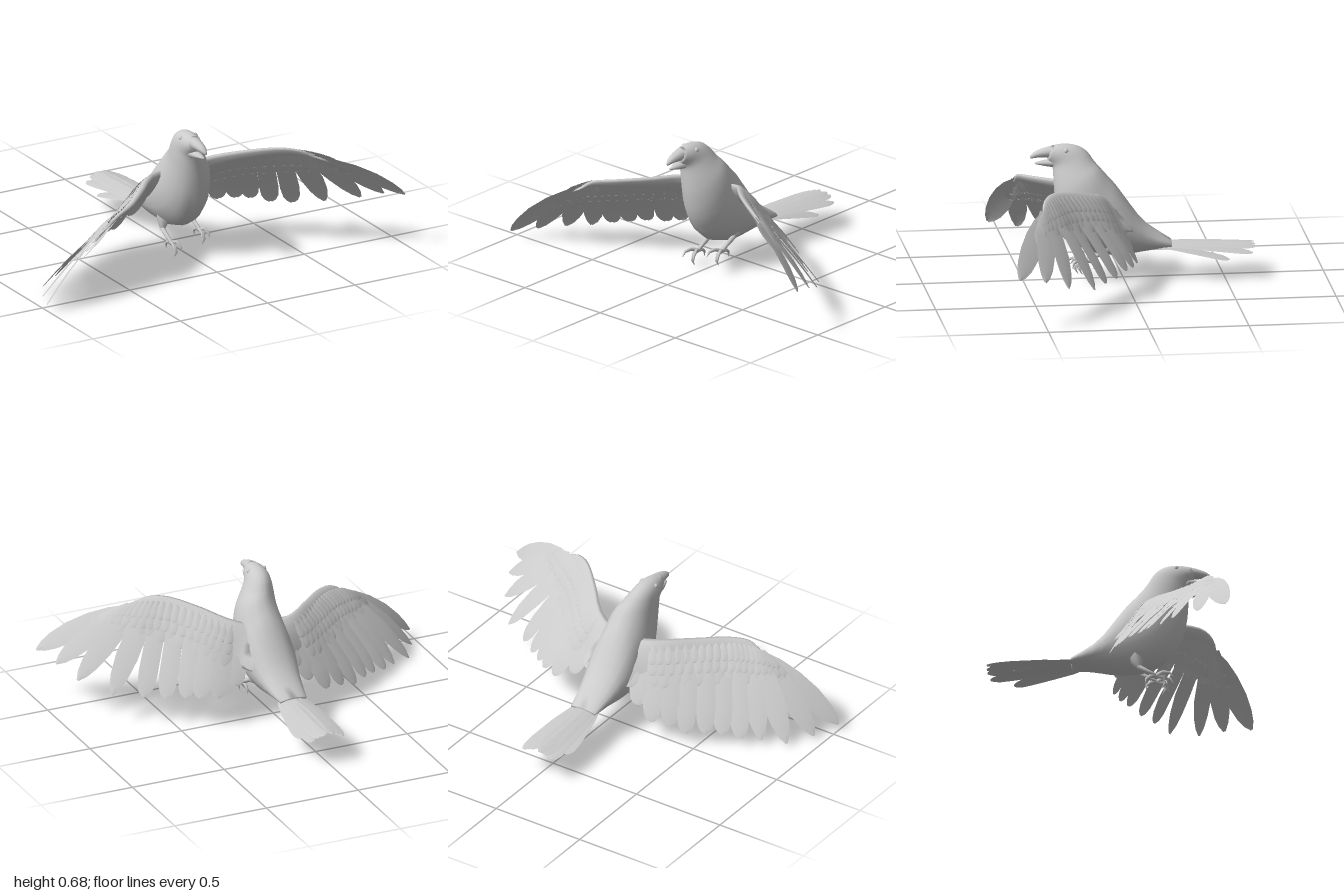
import * as THREE from 'three';

const V = (x, y, z) => new THREE.Vector3(x, y, z);
const curve = (pts) => new THREE.CatmullRomCurve3(pts.map((p) => V(...p)));
const mat = new THREE.MeshStandardMaterial({ color: 0xcccccc, roughness: 0.9 });
const thin = new THREE.MeshStandardMaterial({ color: 0xcccccc, roughness: 0.9, side: THREE.DoubleSide });

function mesh(geo, name, parent, material = mat) {
  const m = new THREE.Mesh(geo, material);
  m.name = name;
  parent.add(m);
  return m;
}

function build(points, index) {
  const g = new THREE.BufferGeometry();
  g.setAttribute('position', new THREE.Float32BufferAttribute(points.flatMap((p) => [p.x, p.y, p.z]), 3));
  g.setIndex(index);
  g.computeVertexNormals();
  return g;
}

// Closed skin over rings running counter-clockwise around the direction of travel
function loft(rings) {
  const n = rings[0].length, pts = rings.flat(), idx = [];
  for (let i = 0; i < rings.length - 1; i++) {
    for (let j = 0; j < n; j++) {
      const a = i * n + j, b = i * n + (j + 1) % n;
      idx.push(a, b, a + n, b, b + n, a + n);
    }
  }
  const last = (rings.length - 1) * n;
  for (let j = 1; j < n - 1; j++) idx.push(0, j + 1, j, last, last + j, last + j + 1);
  return build(pts, idx);
}

function ring(center, u, v, n, shape = () => 1) {
  return Array.from({ length: n }, (_, j) => {
    const a = (j / n) * Math.PI * 2;
    return center.clone().addScaledVector(u, Math.cos(a) * shape(a)).addScaledVector(v, Math.sin(a));
  });
}

// Sections: [top z, top y, bottom z, bottom y, half width, centre x]
function sectionLoft(sections, samples, sides) {
  const top = curve(sections.map((s) => [0, s[1], s[0]]));
  const bottom = curve(sections.map((s) => [0, s[3], s[2]]));
  const size = curve(sections.map((s) => [s[4], s[5], 0]));
  const rings = [];
  for (let i = 0; i <= samples; i++) {
    const t = i / samples, T = top.getPoint(t), B = bottom.getPoint(t), w = size.getPoint(t);
    const c = T.clone().add(B).multiplyScalar(0.5);
    c.x = w.y;
    rings.push(ring(c, T.sub(B).multiplyScalar(0.5), V(-w.x, 0, 0), sides));
  }
  return loft(rings);
}

// Tapered limb through points, one radius per point
function limb(points, radii, sides = 8) {
  return loft(points.map((p, i) => {
    const d = points[Math.min(i + 1, points.length - 1)].clone().sub(points[Math.max(i - 1, 0)]).normalize();
    const u = V(1, 0, 0).addScaledVector(d, -d.x).normalize();
    const v = d.clone().cross(u);
    return ring(p, u.multiplyScalar(radii[i]), v.multiplyScalar(radii[i]), sides);
  }));
}

// Vane outlines: [position along the shaft, share of full width]
const rounded = [[0, 0.35], [0.12, 0.68], [0.4, 0.95], [0.75, 1], [0.89, 0.87], [0.96, 0.6], [1, 0.2]];
const pointed = [[0, 0.35], [0.12, 0.65], [0.35, 0.95], [0.6, 1], [0.8, 0.8], [0.92, 0.5], [1, 0.1]];

// Thin cambered feather with a raised shaft
function feather(vane, root, tip, width, normal, tilt, bend) {
  const dir = tip.clone().sub(root), len = dir.length();
  const n = normal.clone().addScaledVector(dir, -normal.dot(dir) / (len * len)).normalize();
  const side = dir.clone().normalize().cross(n).addScaledVector(n, tilt);
  const pts = [], idx = [];
  vane.forEach(([u, w], i) => {
    const c = root.clone().addScaledVector(dir, u).addScaledVector(n, bend * len * Math.sin(Math.PI * u));
    for (const k of [-1, 0, 1]) {
      pts.push(c.clone().addScaledVector(side, k * w * width / 2).addScaledVector(n, k ? 0 : 0.004));
    }
    if (i) for (const k of [0, 1]) {
      const b = i * 3 + k, a = b - 3;
      idx.push(a, a + 1, b, a + 1, b + 1, b);
    }
  });
  return build(pts, idx);
}

// side is +1 for left, -1 for right
function makeWing(side, leadPts, tipPts) {
  const wing = new THREE.Group();
  wing.name = side > 0 ? 'leftWing' : 'rightWing';
  const lead = curve(leadPts), tips = curve(tipPts);
  const frame = (t) => {
    const L = lead.getPoint(t), T = tips.getPoint(t);
    const dir = T.clone().sub(L).normalize();
    const span = lead.getTangent(t).add(tips.getTangent(t)).normalize();
    return { L, T, dir, n: span.cross(dir).multiplyScalar(side).normalize() };
  };

  // Arm: rounded leading edge thinning to the rear, broad at the shoulder
  const rings = [];
  for (let i = 0; i <= 14; i++) {
    const t = i / 14, f = frame(t), chord = 0.25 - 0.27 * t + 0.1 * t * t;
    const center = f.L.clone().addScaledVector(f.dir, chord / 2);
    rings.push(ring(center, f.n.clone().multiplyScalar(0.034 - 0.024 * t),
      f.dir.clone().multiplyScalar(-side * chord / 2), 12, (a) => 0.65 + 0.35 * side * Math.sin(a)));
  }
  mesh(loft(rings), 'wingArm', wing);

  // Flight feathers: rounded secondaries, longer pointed primaries
  const count = tipPts.length;
  for (let i = 0; i < count; i++) {
    const t = i / (count - 1), f = frame(t), primary = t > 0.65;
    const root = f.L.clone().addScaledVector(f.dir, 0.03);
    mesh(feather(primary ? pointed : rounded, root, f.T, primary ? 0.112 : 0.096, f.n, 0.08 * side, 0.03),
      primary ? 'primaryFeather' : 'secondaryFeather', wing, thin);
  }

  // Overlapping covert rows: [start, end, width, lift, count]
  const rows = [
    [0.06, 0.245, 0.064, 0.010, 15], [0.05, 0.185, 0.05, 0.016, 18], [0.035, 0.13, 0.042, 0.02, 20],
    [0.05, 0.22, 0.062, -0.010, 14], [0.04, 0.15, 0.048, -0.016, 16],
  ];
  for (const [start, end, width, lift, n] of rows) {
    for (let i = 0; i < n; i++) {
      const t = 0.16 + 0.82 * (i + 0.5) / n, f = frame(t);
      const at = (d, h) => f.L.clone().addScaledVector(f.dir, d).addScaledVector(f.n, h);
      mesh(feather(rounded, at(start, lift * 0.8), at(end, lift), width, f.n, 0.12 * side, 0.03 * Math.sign(lift)),
        'covert', wing, thin);
    }
  }
  return wing;
}

function makeLeg(side, y) {
  const leg = new THREE.Group();
  leg.name = side > 0 ? 'leftLeg' : 'rightLeg';
  const x = side * 0.08, foot = V(x, y, 0.185);
  mesh(limb([V(side * 0.055, 0.22, 0.07), V(side * 0.064, 0.165, 0.085), V(x, y + 0.045, 0.1)],
    [0.045, 0.036, 0.013]), 'thigh', leg);
  mesh(limb([V(x, y + 0.05, 0.095), V(x, y + 0.02, 0.15), foot], [0.013, 0.01, 0.012]), 'shank', leg);
  const toes = [
    [[0, 0, 0], [-0.016, 0.012, 0.035], [-0.024, 0.005, 0.068], [-0.027, -0.02, 0.085]],
    [[0, 0, 0], [0.003, -0.01, 0.035], [0.004, -0.04, 0.045], [0.002, -0.069, 0.028]],
    [[0, 0, 0], [0.016, 0.01, 0.03], [0.024, -0.01, 0.055], [0.026, -0.035, 0.058]],
    [[0, 0, 0], [0, -0.004, -0.03], [0, -0.02, -0.05], [0, -0.045, -0.05]],
  ];
  for (const toe of toes) {
    mesh(limb(toe.map((p) => V(...p).add(foot)), [0.011, 0.009, 0.007, 0.001], 6), 'toe', leg);
  }
  return leg;
}

export function createModel() {
  const bird = new THREE.Group();
  bird.name = 'bird';

  // Body, neck and head from tail to face
  mesh(sectionLoft([
    [-0.24, 0.186, -0.23, 0.153, 0.074, 0],
    [-0.105, 0.285, -0.12, 0.137, 0.1, 0],
    [-0.01, 0.41, 0, 0.118, 0.122, 0],
    [0.04, 0.48, 0.11, 0.122, 0.128, 0],
    [0.075, 0.52, 0.23, 0.175, 0.126, 0],
    [0.105, 0.555, 0.31, 0.29, 0.115, 0],
    [0.125, 0.577, 0.34, 0.42, 0.1, -0.006],
    [0.145, 0.6, 0.345, 0.51, 0.083, -0.02],
    [0.175, 0.642, 0.347, 0.56, 0.067, -0.032],
    [0.225, 0.674, 0.352, 0.575, 0.058, -0.038],
    [0.30, 0.682, 0.36, 0.59, 0.048, -0.041],
    [0.36, 0.672, 0.372, 0.606, 0.034, -0.042],
  ], 26, 16), 'body', bird);

  // Open beak
  mesh(sectionLoft([
    [0.34, 0.678, 0.34, 0.61, 0.037, -0.042], [0.395, 0.664, 0.395, 0.616, 0.028, -0.041],
    [0.435, 0.648, 0.435, 0.615, 0.018, -0.04], [0.46, 0.627, 0.457, 0.612, 0.005, -0.038],
  ], 9, 10), 'upperBeak', bird);
  mesh(sectionLoft([
    [0.33, 0.609, 0.33, 0.562, 0.033, -0.042], [0.39, 0.603, 0.385, 0.572, 0.023, -0.041],
    [0.438, 0.592, 0.435, 0.584, 0.006, -0.039],
  ], 6, 10), 'lowerBeak', bird);

  for (const s of [-1, 1]) {
    const eye = mesh(new THREE.SphereGeometry(0.013, 12, 8), 'eye', bird);
    eye.position.set(-0.04 + s * 0.04, 0.655, 0.285);
  }

  // Wings, the left one raised a little higher
  bird.add(makeWing(1,
    [[0.04, 0.44, 0.12], [0.16, 0.475, 0.17], [0.28, 0.52, 0.29], [0.41, 0.55, 0.41], [0.5, 0.535, 0.46], [0.58, 0.495, 0.475]],
    [[0.13, 0.27, -0.03], [0.22, 0.2, -0.02], [0.32, 0.155, -0.03], [0.4, 0.155, 0], [0.46, 0.155, 0.04], [0.54, 0.14, 0.1],
      [0.63, 0.14, 0.165], [0.77, 0.145, 0.24], [0.89, 0.19, 0.385], [0.95, 0.24, 0.51], [0.995, 0.27, 0.645]]));
  bird.add(makeWing(-1,
    [[-0.04, 0.43, 0.12], [-0.165, 0.44, 0.16], [-0.315, 0.425, 0.305], [-0.44, 0.415, 0.42], [-0.53, 0.4, 0.465], [-0.6, 0.355, 0.465]],
    [[-0.13, 0.24, -0.02], [-0.19, 0.16, -0.03], [-0.28, 0.1, -0.04], [-0.37, 0.09, -0.015], [-0.45, 0.07, 0.005], [-0.53, 0.07, 0.06],
      [-0.6, 0.06, 0.11], [-0.68, 0.045, 0.15], [-0.76, 0.03, 0.215], [-0.87, 0.015, 0.28], [-0.945, 0.02, 0.41], [-0.998, 0.035, 0.548]]));

  // Tail fan, outer feathers lower and shorter: [root x, tip x, tip y, tip z]
  const tail = new THREE.Group();
  tail.name = 'tail';
  for (const s of [-1, 1]) {
    for (const [rx, tx, ty, tz] of [[0.014, 0.024, 0.155, -0.655], [0.034, 0.05, 0.147, -0.652],
      [0.048, 0.082, 0.125, -0.638], [0.05, 0.085, 0.095, -0.52]]) {
      mesh(feather(rounded, V(s * rx, 0.172 + (ty - 0.155) * 0.15, -0.19), V(s * tx, ty, tz), 0.074, V(0, 1, 0), -s * 0.16, 0.015),
        'tailFeather', tail, thin);
    }
  }
  bird.add(tail);

  bird.add(makeLeg(1, 0.11), makeLeg(-1, 0.07));
  return bird;
}
